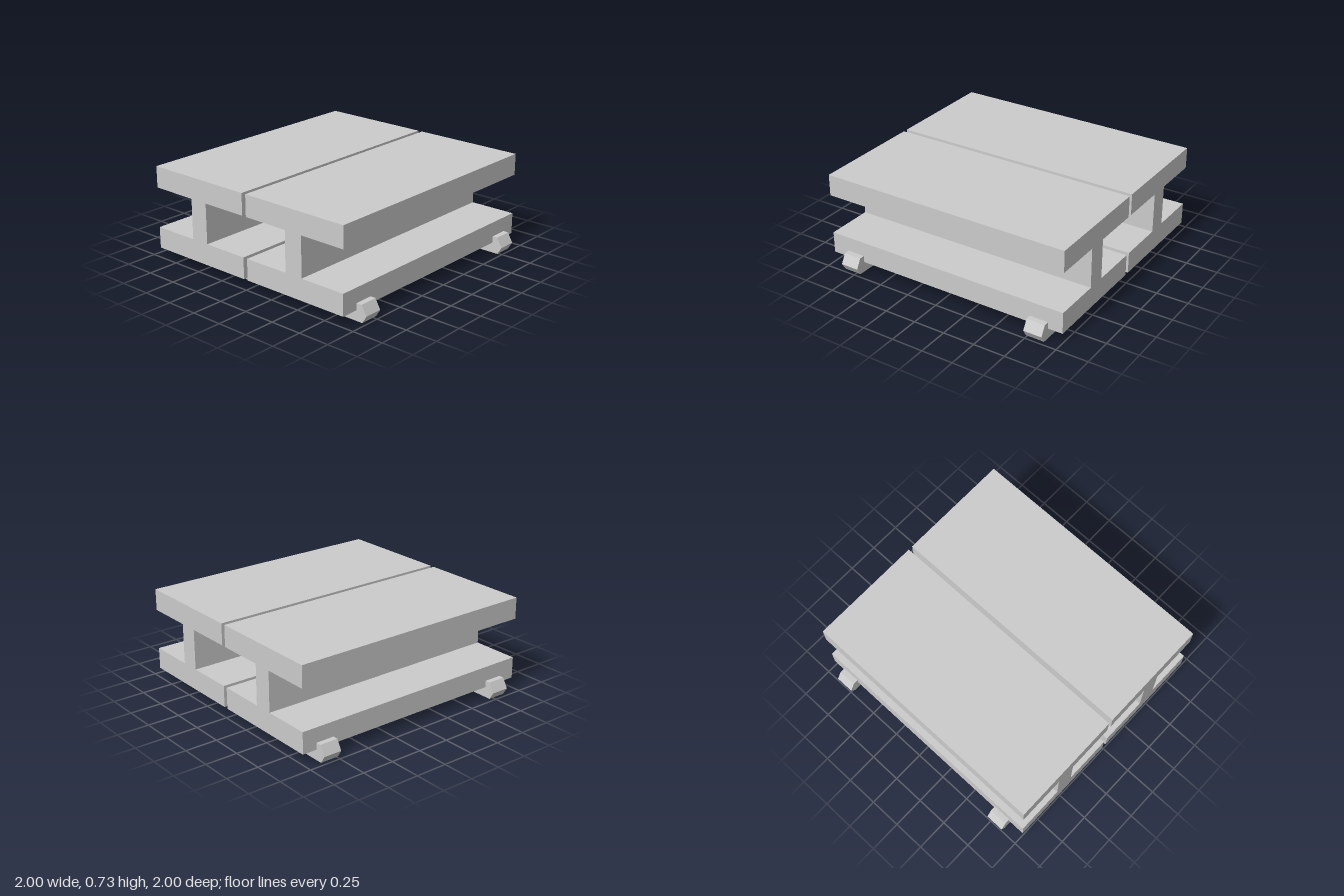
import * as THREE from 'three';

const material = new THREE.MeshStandardMaterial({ color: 0xcccccc, flatShading: true });

// Extrudes an outline in x/y along z, centred on the given z
function prism(name, points, depth, z) {
  const shape = new THREE.Shape(points.map(([x, y]) => new THREE.Vector2(x, y)));
  const geometry = new THREE.ExtrudeGeometry(shape, { depth, bevelEnabled: false });
  geometry.translate(0, 0, z - depth / 2);
  const mesh = new THREE.Mesh(geometry, material);
  mesh.name = name;
  return mesh;
}

// Mirrors a half outline (bottom to top on +x) to the other side
const mirrored = (half) => [...half, ...half.slice().reverse().map(([x, y]) => [-x, y])];

export function createModel() {
  const model = new THREE.Group();
  model.name = 'pairedBeams';

  // Two I-beams side by side with a narrow gap
  const beamHalf = [
    [0.449, 0.08], [0.449, 0.247], [0.075, 0.247],
    [0.075, 0.562], [0.449, 0.562], [0.449, 0.73],
  ];
  for (const [name, x] of [['leftBeam', 0.466], ['rightBeam', -0.468]]) {
    const beam = prism(name, mirrored(beamHalf), 2, 0);
    beam.position.x = x;
    model.add(beam);
  }

  // Cross bars underneath, with ends hooked up around the lower flanges
  const barHalf = [
    [0.965, 0], [1, 0.057], [0.958, 0.132], [0.915, 0.132], [0.915, 0.08],
  ];
  model.add(prism('frontCrossBar', mirrored(barHalf), 0.146, 0.79));
  model.add(prism('backCrossBar', mirrored(barHalf), 0.146, -0.812));

  return model;
}
